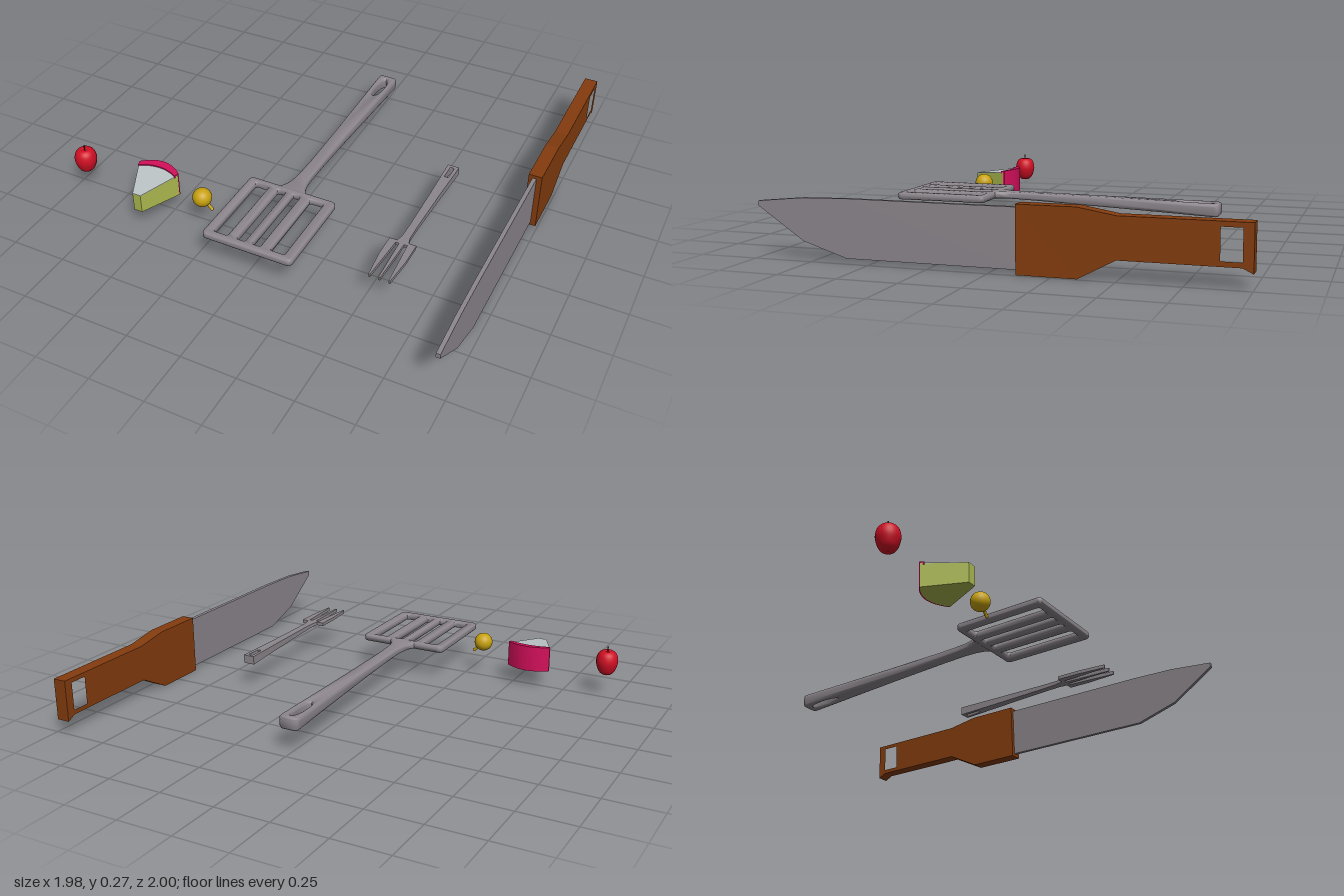
import * as THREE from 'three';
import { toCreasedNormals } from 'three/addons/utils/BufferGeometryUtils.js';

const paint = (name, color) => {
  const m = new THREE.MeshStandardMaterial({ color });
  m.name = name;
  return m;
};
const lerp = THREE.MathUtils.lerp;

function polygon(points, Kind = THREE.Shape) {
  return new Kind(points.map(([x, y]) => new THREE.Vector2(x, y)));
}

// Closed outline with rounded corners, in (x, -z) of the ground plan
function roundedRect(x0, x1, z0, z1, r, Kind = THREE.Shape) {
  const s = new Kind();
  const corners = [[x1 - r, -z1 + r, -Math.PI / 2], [x1 - r, -z0 - r, 0],
    [x0 + r, -z0 - r, Math.PI / 2], [x0 + r, -z1 + r, Math.PI]];
  for (const [x, y, a] of corners) s.absarc(x, y, r, a, a + Math.PI / 2, false);
  s.closePath();
  return s;
}

// Ground-plan shape raised upward; bottom and top heights follow z
function slab(shape, bevel, bottom, top, crease = 0.9) {
  const depth = 0.04;
  const geo = new THREE.ExtrudeGeometry(shape, {
    depth: depth - 2 * bevel, bevelEnabled: bevel > 0, bevelThickness: bevel,
    bevelSize: bevel, bevelOffset: -bevel, bevelSegments: 4, curveSegments: 8,
  });
  geo.translate(0, 0, bevel).rotateX(-Math.PI / 2);
  const p = geo.attributes.position;
  for (let i = 0; i < p.count; i++) {
    const z = p.getZ(i);
    p.setY(i, lerp(bottom(z), top(z), p.getY(i) / depth));
  }
  geo.computeVertexNormals();
  return toCreasedNormals(geo, crease);
}

// Side-profile shape, given as (z, y) points, with thickness along x
function sideProfile(points, thickness, holes = []) {
  const flip = (list) => list.map(([z, y]) => [-z, y]);
  const shape = polygon(flip(points));
  shape.holes = holes.map((h) => polygon(flip(h), THREE.Path));
  const geo = new THREE.ExtrudeGeometry(shape, { depth: thickness, bevelEnabled: false });
  return geo.translate(0, 0, -thickness / 2).rotateY(Math.PI / 2);
}

// Mirrors a half outline of (half width, z) points about x = cx
function mirrored(cx, half) {
  const right = half.map(([w, z]) => [cx + w, -z]);
  const left = half.map(([w, z]) => [cx - w, -z]).reverse();
  return polygon([...right, ...left]);
}

const flat = (y) => () => y;
const slope = (z0, y0, z1, y1) => (z) => lerp(y0, y1, THREE.MathUtils.clamp((z - z0) / (z1 - z0), 0, 1));

export function createModel() {
  const steel = paint('steel', 0x8c868c);
  const wood = paint('brown wood', 0x843c0e);
  const red = paint('red skin', 0xd00f24);
  const yellow = paint('yellow skin', 0xc8a20f);
  const pink = paint('pink glaze', 0xd20f5a);
  const lime = paint('lime sponge', 0xaab84e);
  const cream = paint('pale icing', 0xbcc4c6);
  const dark = paint('dark stem', 0x40240f);

  const model = new THREE.Group();
  const group = (name) => {
    const g = new THREE.Group();
    g.name = name;
    model.add(g);
    return g;
  };
  const add = (parent, name, geo, material) => {
    const mesh = new THREE.Mesh(geo, material);
    mesh.name = name;
    parent.add(mesh);
    return mesh;
  };

  // Knife standing on its edge
  const knife = group('knife');
  const handle = sideProfile(
    [[-0.11, 0], [-0.11, 0.27], [-0.35, 0.27], [-0.5, 0.245], [-1, 0.245],
      [-1, 0.06], [-0.96, 0.08], [-0.5, 0.08], [-0.35, 0]], 0.06,
    [[[-0.88, 0.1], [-0.88, 0.225], [-0.96, 0.225], [-0.96, 0.1]]]);
  add(knife, 'knifeHandle', handle, wood).position.x = 0.96;
  const blade = sideProfile(
    [[-0.13, 0.015], [-0.13, 0.255], [0.6, 0.255], [0.8, 0.25], [1, 0.23],
      [1, 0.21], [0.8, 0.075], [0.61, 0.015]], 0.018);
  add(knife, 'knifeBlade', blade, steel).position.x = 0.957;

  // Slotted spatula
  const spatula = group('spatula');
  const head = roundedRect(-0.2, 0.222, 0.322, 0.75, 0.022);
  for (const [x0, x1] of [[-0.157, -0.092], [-0.047, -0.009], [0.027, 0.063], [0.11, 0.176]]) {
    head.holes.push(roundedRect(x0, x1, 0.355, 0.715, 0.008, THREE.Path));
  }
  add(spatula, 'spatulaHead', slab(head, 0.012, flat(0.14), flat(0.173)), steel);
  const grip = mirrored(0.01, [[0.075, 0.335], [0.06, 0.318], [0.046, 0.295], [0.036, 0.26],
    [0.031, 0.21], [0.029, 0.1], [0.032, -0.15], [0.039, -0.45], [0.046, -0.69], [0.044, -0.705], [0.034, -0.714]]);
  const eye = new THREE.Path();
  eye.absellipse(0.01, 0.603, 0.021, 0.08, 0, Math.PI * 2);
  grip.holes.push(eye);
  add(spatula, 'spatulaHandle',
    slab(grip, 0.011, slope(-0.71, 0.1, 0.33, 0.142), slope(-0.71, 0.16, 0.33, 0.172)), steel);

  // Three-pronged fork
  const fork = group('fork');
  const prongs = mirrored(0.572, [[0.004, 0.655], [0.011, 0.43], [0.026, 0.43], [0.041, 0.655],
    [0.048, 0.655], [0.06, 0.52], [0.06, 0.415], [0.026, 0.415], [0.018, 0.38], [0.017, 0.3],
    [0.021, 0.05], [0.027, -0.165]]);
  prongs.holes.push(roundedRect(0.562, 0.582, -0.15, -0.075, 0.004, THREE.Path));
  add(fork, 'forkBody',
    slab(prongs, 0, slope(-0.165, 0.115, 0.415, 0.141), slope(-0.165, 0.154, 0.415, 0.157), 0.5), steel);

  // Wedge of cake, sloping down to its blunt tip
  const cake = group('cakeSlice');
  const cx = -0.578;
  const arc = [-1, -0.75, -0.5, -0.25, 0, 0.25, 0.5, 0.75, 1];
  const rim = (inset) => arc.map((t) => [cx + t * 0.102, -(0.443 + inset + 0.04 * t * t)]);
  const cakeTop = slope(0.44, 0.196, 0.665, 0.172);
  const raise = (d) => (z) => cakeTop(z) + d;
  const wedge = polygon([[cx - 0.02, -0.665], [cx + 0.02, -0.665], ...rim(0.006).reverse()]);
  add(cake, 'cakeSponge', slab(wedge, 0, flat(0.085), cakeTop, 0.4), lime);
  add(cake, 'cakeIcing', slab(wedge, 0, cakeTop, raise(0.003), 0.4), cream);
  const back = polygon([...rim(0.007), ...rim(0).reverse()]);
  add(cake, 'cakeBackGlaze', slab(back, 0, flat(0.085), raise(0.004), 0.4), pink);
  const band = polygon([
    ...arc.map((t) => [cx + t * 0.096, -(0.48 + 0.025 * t * t)]), ...rim(0).reverse()]);
  add(cake, 'cakeTopGlaze', slab(band, 0, raise(-0.004), raise(0.009), 0.4), pink);

  // Red fruit with a dimpled top and thin stem
  const apple = group('redFruit');
  apple.position.set(-0.941, 0.1, 0.535);
  const profile = new THREE.SplineCurve([[0, 0.004], [0.014, 0], [0.034, 0.014], [0.047, 0.045],
    [0.05, 0.072], [0.042, 0.1], [0.024, 0.115], [0.008, 0.112], [0, 0.105]]
    .map(([x, y]) => new THREE.Vector2(x, y))).getPoints(28);
  profile.forEach((v) => { v.x = Math.max(0, v.x); });
  add(apple, 'fruitBody', new THREE.LatheGeometry(profile, 28), red);
  add(apple, 'fruitStem', new THREE.CylinderGeometry(0.003, 0.002, 0.032, 8), dark).position.y = 0.119;

  // Yellow berry with a slanting stalk
  const berry = group('yellowBerry');
  add(berry, 'berryBody', new THREE.SphereGeometry(0.043, 28, 20), yellow).position.set(-0.325, 0.158, 0.535);
  const stalk = new THREE.LineCurve3(new THREE.Vector3(-0.305, 0.138, 0.535), new THREE.Vector3(-0.279, 0.109, 0.535));
  add(berry, 'berryStalk', new THREE.TubeGeometry(stalk, 1, 0.007, 10), yellow);
  const cap = add(berry, 'berryStalkEnd', new THREE.SphereGeometry(0.008, 12, 8), yellow);
  cap.position.copy(stalk.v2);

  return model;
}
